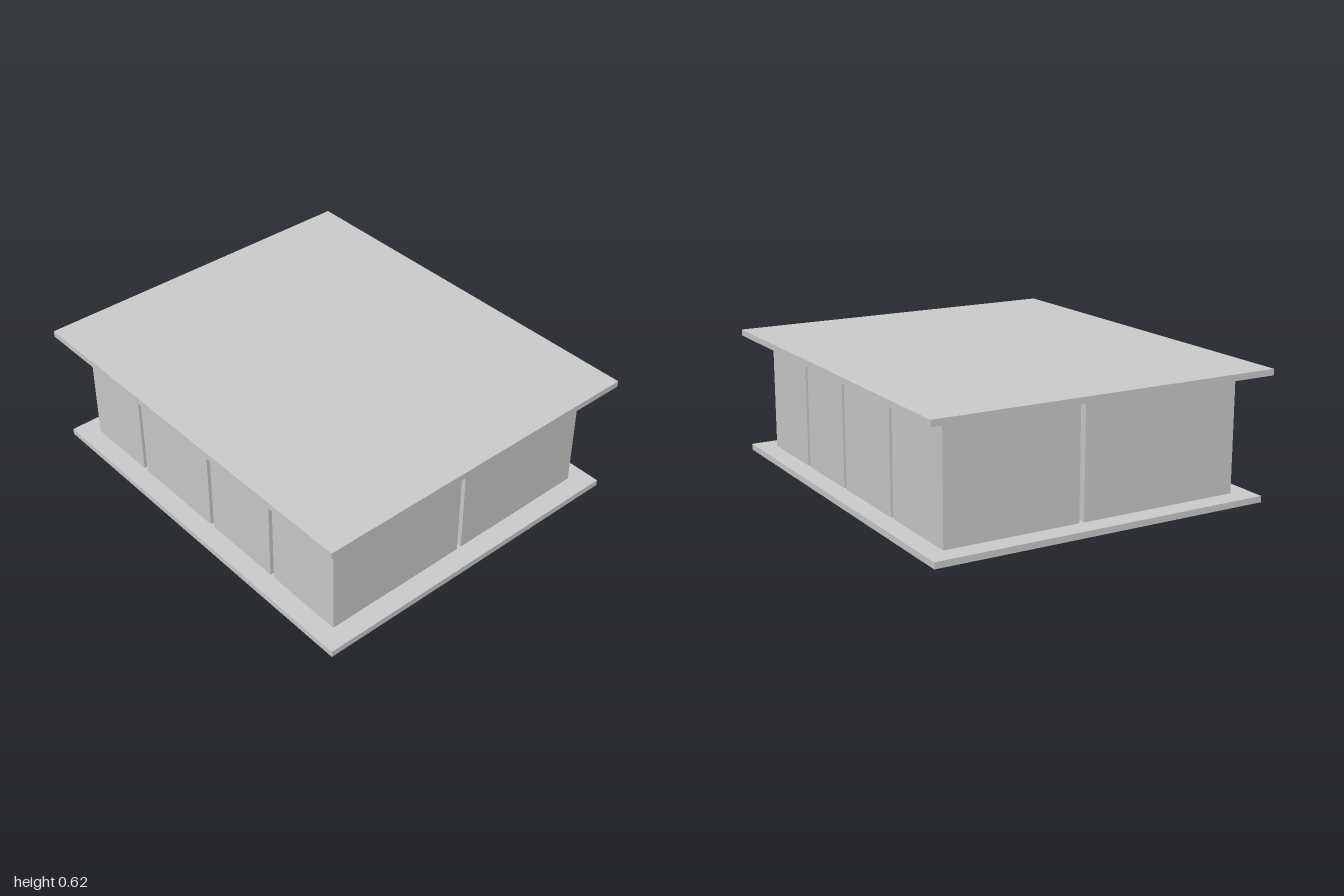
import * as THREE from 'three';

const material = new THREE.MeshStandardMaterial({ color: 0xcccccc });

// Box given by its lower and upper limits on each axis
function block(name, [x0, x1], [y0, y1], [z0, z1]) {
  const mesh = new THREE.Mesh(new THREE.BoxGeometry(x1 - x0, y1 - y0, z1 - z0), material);
  mesh.position.set((x0 + x1) / 2, (y0 + y1) / 2, (z0 + z1) / 2);
  mesh.name = name;
  return mesh;
}

export function createModel() {
  const model = new THREE.Group();
  model.name = 'palletOfBoxes';

  // Thin base board and slightly larger cover board
  model.add(block('baseBoard', [-0.835, 0.835], [0, 0.03], [-0.98, 0.98]));
  model.add(block('coverBoard', [-0.855, 0.855], [0.59, 0.62], [-1, 1]));

  // Two columns of four boxes, with narrow, slightly uneven gaps
  const halfGap = 0.012, halfWidth = 0.74, halfDepth = 0.88;
  const splitX = [0.07, 0.04, 0.02, 0.008]; // gap between columns, back row to front row
  const columns = [
    { name: 'rightBox', side: -1, splitZ: [-0.49, 0.036, 0.47] },
    { name: 'leftBox', side: 1, splitZ: [-0.418, 0.059, 0.47] },
  ];
  const boxes = new THREE.Group();
  boxes.name = 'boxes';
  for (const { name, side, splitZ } of columns) {
    splitX.forEach((x, row) => {
      const z0 = row === 0 ? -halfDepth : splitZ[row - 1] + halfGap;
      const z1 = row === 3 ? halfDepth : splitZ[row] - halfGap;
      const xs = side < 0 ? [-halfWidth, x - halfGap] : [x + halfGap, halfWidth];
      boxes.add(block(name + (row + 1), xs, [0.03, 0.59], [z0, z1]));
    });
  }
  model.add(boxes);
  return model;
}
